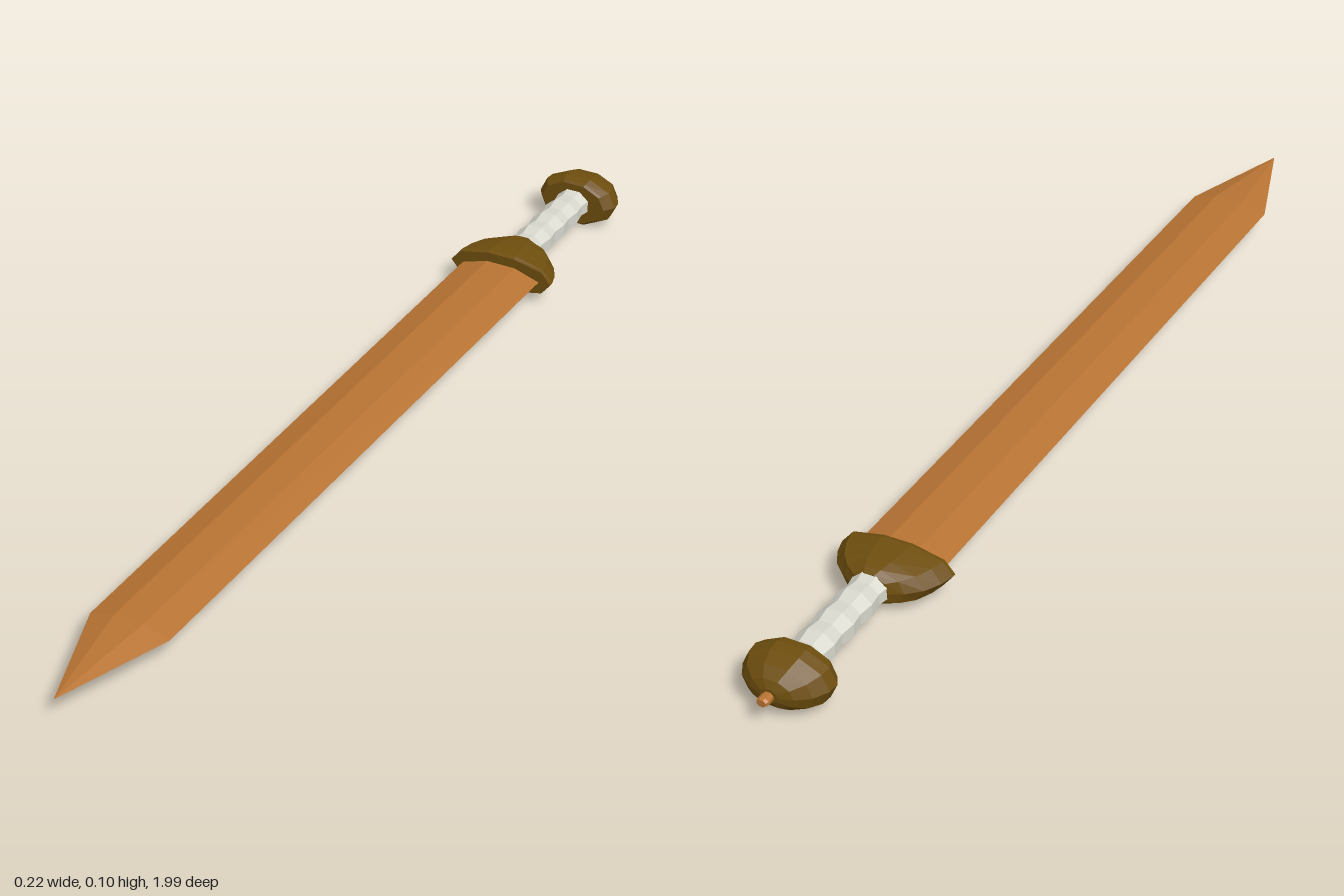
import * as THREE from 'three';

const CENTRE_Y = 0.053;

// Closed outline, counter-clockwise seen from +z, mirrored from its upper right corner points.
function outline(quarter) {
  const [edge, ...rest] = quarter;
  const right = rest.map(([x, y]) => [x, y]);
  const left = rest.map(([x, y]) => [-x, y]).reverse();
  const upper = [edge, ...right, ...left];
  return [...upper, ...upper.map(([x, y]) => [-x, -y])];
}

// Skins an outline through rings of [z, x scale, y scale], ordered from back to front.
function loft(points, rings) {
  const pos = [];
  const n = points.length;
  const at = ([z, sx, sy], i) => {
    const p = points[i % n];
    return [p[0] * sx, p[1] * sy, z];
  };
  const tri = (a, b, c) => pos.push(...a, ...b, ...c);
  for (let r = 0; r < rings.length - 1; r++) {
    for (let i = 0; i < n; i++) {
      const a = at(rings[r], i), b = at(rings[r], i + 1);
      const c = at(rings[r + 1], i + 1), d = at(rings[r + 1], i);
      tri(a, b, c);
      tri(a, c, d);
    }
  }
  const first = rings[0], last = rings[rings.length - 1];
  for (let i = 0; i < n; i++) {
    tri([0, 0, first[0]], at(first, i + 1), at(first, i));
    tri([0, 0, last[0]], at(last, i), at(last, i + 1));
  }
  const geo = new THREE.BufferGeometry();
  geo.setAttribute('position', new THREE.Float32BufferAttribute(pos, 3));
  geo.computeVertexNormals();
  return geo;
}

function flatMaterial(name, color) {
  const m = new THREE.MeshStandardMaterial({ color, flatShading: true });
  m.name = name;
  return m;
}

export function createModel() {
  const group = new THREE.Group();
  group.name = 'shortSword';
  const copper = flatMaterial('copper', 0xb87333);
  const wood = flatMaterial('darkWood', 0x6e4e0e);
  const bone = flatMaterial('bone', 0xd8d8ce);

  const add = (name, geo, material) => {
    const mesh = new THREE.Mesh(geo, material);
    mesh.name = name;
    mesh.position.y = CENTRE_Y;
    group.add(mesh);
  };

  // Blade: flattened hexagon, narrowing slightly and then to a point
  add('blade', loft(outline([[0.083, 0], [0.03, 0.017]]), [
    [-0.58, 1, 1],
    [0.77, 0.93, 0.95],
    [0.99, 0.005, 0.005],
  ]), copper);

  // Guard: half dome, open side towards the blade
  add('guard', loft(outline([[0.108, 0], [0.088, 0.025], [0.028, 0.039]]), [
    [-0.66, 0.33, 0.75],
    [-0.648, 0.55, 0.88],
    [-0.625, 0.78, 0.97],
    [-0.595, 0.93, 1],
    [-0.568, 1, 1],
    [-0.56, 1, 0.92],
  ]), wood);

  // Grip: eight sides with finger swells
  const octagon = Array.from({ length: 8 }, (_, i) => {
    const a = (i + 0.5) * Math.PI / 4;
    return [Math.cos(a), Math.sin(a)];
  });
  const swells = 4, steps = swells * 4, gripRings = [];
  for (let i = 0; i <= steps; i++) {
    const r = 0.035 + 0.0025 * Math.cos(i / steps * swells * Math.PI * 2);
    gripRings.push([-0.89 + 0.24 * i / steps, r, r * 0.85]);
  }
  add('grip', loft(octagon, gripRings), bone);

  // Pommel: wide rounded knob
  add('pommel', loft(outline([[0.083, 0], [0.069, 0.03], [0.027, 0.05]]), [
    [-0.978, 0.2, 0.25],
    [-0.97, 0.5, 0.52],
    [-0.952, 0.8, 0.8],
    [-0.925, 0.98, 0.97],
    [-0.903, 1, 1],
    [-0.886, 0.88, 0.92],
    [-0.882, 0.82, 0.84],
  ]), wood);

  // Tang button behind the pommel
  add('tangButton', loft(octagon, [
    [-1, 0.009, 0.007],
    [-0.994, 0.012, 0.009],
    [-0.97, 0.01, 0.008],
  ]), copper);

  return group;
}
